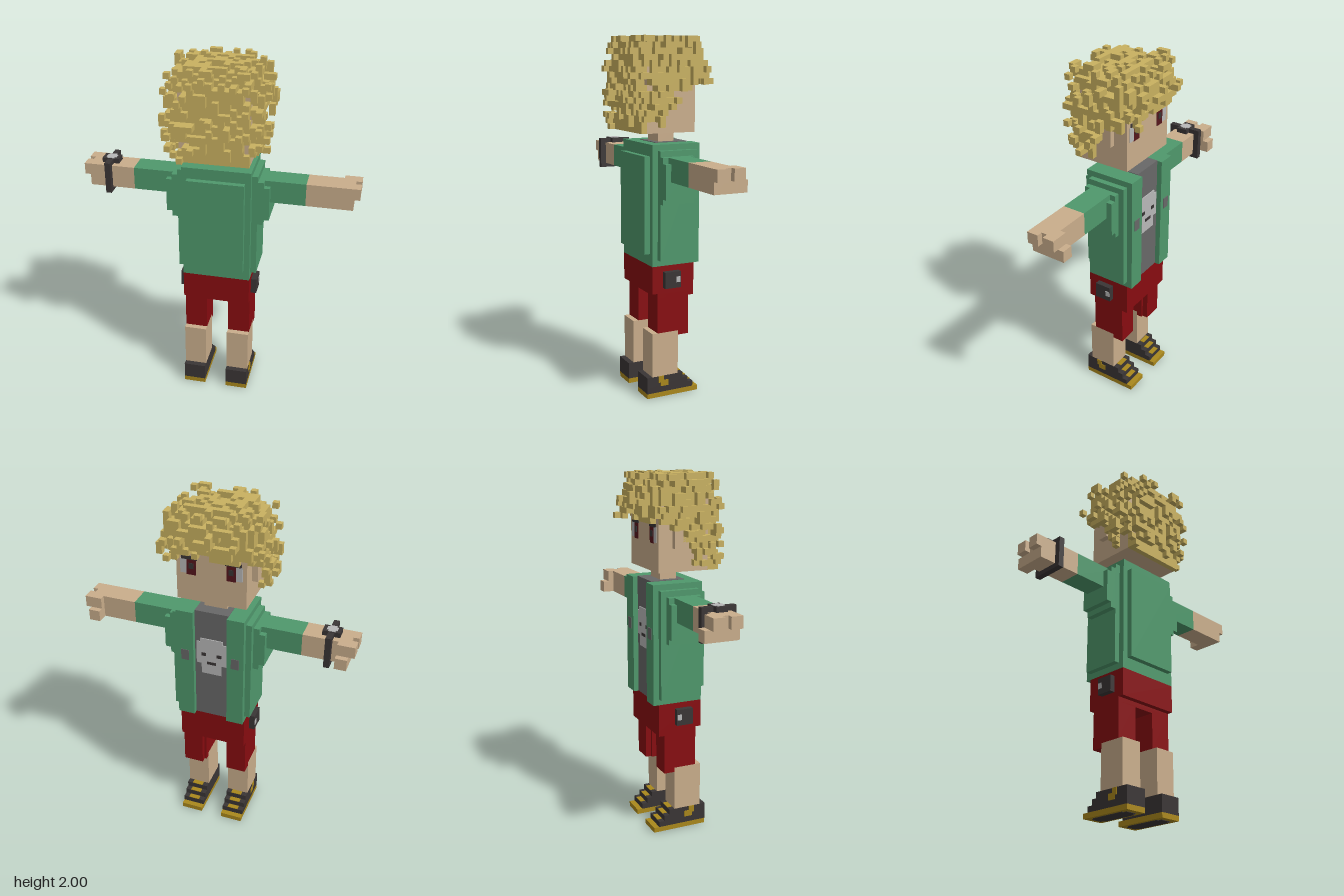
import * as THREE from 'three';
import { mergeGeometries } from 'three/addons/utils/BufferGeometryUtils.js';

const U = 2 / 63; // one block

function material(name, color) {
  const m = new THREE.MeshStandardMaterial({ color });
  m.name = name;
  return m;
}

export function createModel() {
  const root = new THREE.Group();
  root.name = 'blockFigure';
  const skin = material('skin', 0xcaae8c), blond = material('blond', 0xc9b160);
  const green = material('green', 0x4f986c), red = material('red', 0x880c10);
  const dark = material('charcoal', 0x3a3535), gold = material('gold', 0xaa881c);
  const grey = material('shirtGrey', 0x686868), pale = material('paleGrey', 0xb8b8b8);
  const maroon = material('maroon', 0x56161c);

  // Box from its limits, in blocks
  function box(name, mat, x0, x1, y0, y1, z0, z1) {
    const g = new THREE.BoxGeometry((x1 - x0) * U, (y1 - y0) * U, (z1 - z0) * U);
    const m = new THREE.Mesh(g, mat);
    m.position.set((x0 + x1) * U / 2, (y0 + y1) * U / 2, (z0 + z1) * U / 2);
    m.name = name;
    root.add(m);
  }
  // The same box on both sides
  function pair(name, mat, x0, x1, ...yz) {
    box(name + 'Left', mat, x0, x1, ...yz);
    box(name + 'Right', mat, -x1, -x0, ...yz);
  }

  // Shoes: sole, stepped upper, laces and side mark
  pair('sole', gold, 2, 6, 0.1, 1, -5.5, 4.5);
  pair('tread', dark, 3, 5, 0, 0.1, -4.5, 3.5);
  pair('treadMiddle', dark, 2.6, 5.4, 0, 0.1, -3.8, 2.8);
  for (let i = 0; i < 3; i++) {
    pair('shoeUpper', dark, 2, 6, 1 + i, 2 + i, -4.5 + i, 4.5);
    pair('lace', gold, 3, 5, 2 + i, 2.1 + i, -4.5 + i, -3.6 + i);
  }
  pair('shoeMark', gold, 6, 6.1, 2.8, 4, 1.3, 2.3);
  pair('shoeMarkTail', gold, 6, 6.1, 2.1, 3.2, 0.4, 1.9);

  // Legs and shorts
  pair('leg', skin, 2, 6, 4, 12, -1.5, 3.5);
  pair('shortsLeg', red, 2, 6, 12, 19, -2.5, 2.5);
  pair('shortsHem', red, 2, 6, 11.2, 12, -2.5, -1.5);
  pair('shortsFrontFold', red, 2.4, 6, 11.2, 18.5, -3.5, -2.5);
  box('shortsCrotch', red, -6, 6, 18.3, 19.2, -4.5, 2.5);
  box('shorts', red, -6, 6, 19.2, 24.1, -4.5, 3.5);
  pair('beltPouch', dark, 6, 7, 20.2, 23.1, -1.5, 1.5);
  pair('pouchMark', pale, 7, 7.1, 21.2, 22.2, -1.4, -0.6);

  // Jacket with raised panels
  box('jacketBody', green, -6, 6, 24.1, 45.1, -4.5, 3.5);
  box('jacketBack', green, -5, 5, 26.2, 43.1, 3.5, 4.5);
  pair('jacketSide', green, 6, 7, 25.2, 44.1, -4.5, 2.5);
  pair('jacketFront', green, 3, 6, 24.1, 45.1, -5.5, -4.5);
  pair('jacketMark', grey, 3.8, 5.2, 35.6, 37.6, -5.6, -5.5);

  // Shirt with a pale skull face
  box('shirt', grey, -3, 3, 24.15, 45.2, -4.6, 1.5);
  for (const [w, y0, y1] of [[2, 39.3, 40], [2.7, 35, 39.3], [1.8, 33, 35]])
    box('skull', pale, -w, w, y0, y1, -4.75, -4.6);
  pair('skullEye', dark, 1, 1.8, 36.6, 37.2, -4.85, -4.75);
  box('skullMouth', dark, -0.8, 0.8, 35, 35.5, -4.85, -4.75);

  // Arms and hands
  pair('shoulderFold', green, 7, 8, 35.1, 43.1, -3.5, 2.5);
  pair('shoulderFoldOuter', green, 8, 9, 36.1, 42.1, -3.5, 2.5);
  pair('sleeve', green, 7, 15, 39.1, 43.1, -2.5, 1.5);
  pair('forearm', skin, 15, 23, 39.1, 43.1, -2.5, 1.5);
  pair('palmEdge', skin, 21, 23, 39.1, 43.1, -3.5, -2.5);
  pair('thumb', skin, 21, 23, 39.1, 41.1, -4.5, -3.5);
  pair('foreFinger', skin, 23, 24, 41.1, 43.1, -3.5, -1.5);
  pair('outerFinger', skin, 23, 24, 41.1, 43.1, -0.5, 1.5);

  // Wristwatch
  box('watchBandTop', dark, -20, -19, 43.1, 43.9, -3.5, 2.5);
  box('watchBandBottom', dark, -20, -19, 38.3, 39.1, -3.5, 2.5);
  for (const z of [-3.5, 1.5]) box('watchBandSide', dark, -20, -19, 39.1, 43.1, z, z + 1);
  box('watchCase', dark, -21, -18, 43.15, 44, -1.5, 0.5);
  box('watchDial', pale, -20.1, -18.9, 44, 44.1, -1.4, 0.4);
  box('watchDialMiddle', pale, -20.4, -18.6, 44, 44.1, -1, 0);

  // Neck, head and face
  box('neck', skin, -2, 2, 45.1, 47, -2.5, 0.5);
  box('head', skin, -6, 6, 47, 59, -4.5, 4.5);
  pair('ear', skin, 6, 7, 51, 54, -2, 0);
  pair('iris', maroon, 2.6, 4.2, 51.7, 54.4, -4.6, -4.5);
  pair('eyeWhite', pale, 4.2, 5.3, 51.9, 54.4, -4.6, -4.5);
  pair('eyelash', dark, 2.4, 5.1, 54.4, 55, -4.65, -4.5);
  pair('pupil', dark, 3, 3.8, 52.8, 53.8, -4.68, -4.6);

  root.add(makeHair(blond));
  return root;
}

// Curly hair: a rounded block core with scattered curls, outer faces only
function makeHair(mat) {
  let seed = 20;
  const random = () => (seed = (seed * 16807) % 2147483647) / 2147483647;
  const within = (x, y, z, g) =>
    (x / (7 + g)) ** 4 + ((y - 55) / (7 + g)) ** 4 + (z / (5.5 + g)) ** 4 < 1;
  const inHead = (x, y, z) => Math.abs(x) < 6 && y > 47 && y < 59 && Math.abs(z) < 4.5;
  const cells = new Set();
  const key = (x, y, z) => x + ',' + y + ',' + z;

  for (let x = -8.5; x < 9; x++) for (let y = 47.5; y < 63; y++) for (let z = -7; z <= 7; z++) {
    const r = random(), wobble = random() * 2;
    // Lower edge rises from the nape to the fringe
    let edge = 47;
    if (z < -4) edge = 54.6 + wobble;
    else if (z < 2) edge = 49 + (2 - z) * 0.9 + wobble;
    else if (z < 4) edge = 47.5 + wobble * 0.5;
    if (y < edge || inHead(x, y, z)) continue;
    if (z < 0 && z > -3 && y > 51 && y < 54) continue; // ear opening
    const nape = y < 49 && z > 4 && z < 6 && Math.abs(x) < 6;
    if (nape || within(x, y, z, 0) || (within(x, y, z, 1) && r < 0.55) ||
        (within(x, y, z, 2.1) && r < 0.13)) cells.add(key(x, y, z));
  }
  // Longest curls front and back
  for (const x of [-4.5, -0.5, 4.5]) cells.add(key(x, 58.5, -6)).add(key(x, 58.5, -7));
  for (const x of [-5.5, 2.5]) cells.add(key(x, 53.5, 6)).add(key(x, 53.5, 7));

  // One square for each exposed side
  const sides = [[1, 0, 0], [-1, 0, 0], [0, 1, 0], [0, -1, 0], [0, 0, 1], [0, 0, -1]].map((d) => {
    const n = new THREE.Vector3(...d);
    const q = new THREE.Quaternion().setFromUnitVectors(new THREE.Vector3(0, 0, 1), n);
    const g = new THREE.PlaneGeometry(U, U).applyQuaternion(q);
    return { d, g: g.translate(d[0] * U / 2, d[1] * U / 2, d[2] * U / 2) };
  });
  const faces = [];
  for (const c of cells) {
    const [x, y, z] = c.split(',').map(Number);
    for (const { d, g } of sides) {
      const [a, b, e] = [x + d[0], y + d[1], z + d[2]];
      if (!cells.has(key(a, b, e)) && !inHead(a, b, e))
        faces.push(g.clone().translate(x * U, y * U, z * U));
    }
  }
  const hair = new THREE.Mesh(mergeGeometries(faces), mat);
  hair.name = 'hair';
  return hair;
}
